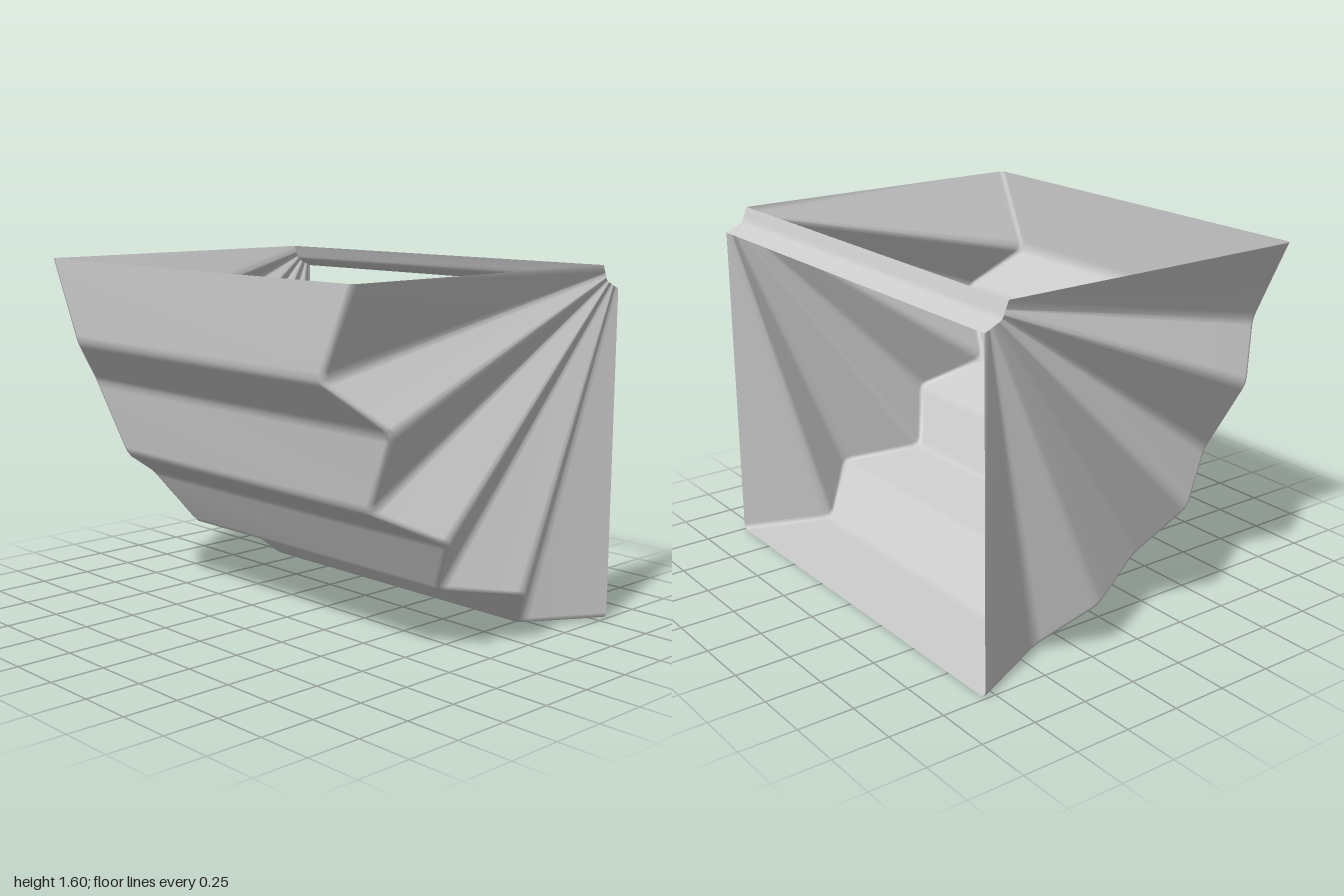
import * as THREE from 'three';

// Fold stations: [outer x, outer y, half width at the outer corner, hub x, hub y]
const FOLDS = [
  [-0.8, 1.603, 1.0, 0.69, 1.603],
  [-0.8, 1.225, 0.82, 0.705, 1.568],
  [-0.588, 1.02, 1.0, 0.712, 1.548],
  [-0.54, 0.675, 0.82, 0.72, 1.536],
  [-0.27, 0.53, 1.0, 0.732, 1.527],
  [-0.135, 0.28, 0.82, 0.748, 1.52],
  [0.215, 0.22, 1.0, 0.765, 1.512],
  [0.405, 0.017, 0.82, 0.778, 1.506],
  [0.8, 0.0, 1.0, 0.8, 1.497],
];

const mix = (a, b, t) => a.map((v, i) => v + (b[i] - v) * t);

// Replace every inner corner by a small three-point bend
function softenFolds(folds, f = 0.1) {
  const out = [folds[0]];
  for (let i = 1; i < folds.length - 1; i++) {
    const a = mix(folds[i], folds[i - 1], f);
    const b = mix(folds[i], folds[i + 1], f);
    out.push(a, mix(mix(a, b, 0.5), folds[i], 0.5), b);
  }
  out.push(folds[folds.length - 1]);
  return out;
}

// Skin a list of equally long cross-sections
function skin(rows) {
  const n = rows[0].length, index = [];
  for (let i = 0; i < rows.length - 1; i++) {
    for (let j = 0; j < n - 1; j++) {
      const a = i * n + j, b = a + n;
      index.push(a, b, a + 1, b, b + 1, a + 1);
    }
  }
  const g = new THREE.BufferGeometry();
  g.setAttribute('position', new THREE.Float32BufferAttribute(rows.flat(2), 3));
  g.setIndex(index);
  g.computeVertexNormals();
  return g;
}

// Half of one cross-section: hub, then the bent corner into the wall
function halfSection([x, y, w, hx, hy], side) {
  const hub = [hx, hy, side], corner = [x, y, side * w];
  const a = mix(corner, hub, 0.018);
  const b = [x, y, side * (w - 0.028)];
  return [hub, a, mix(mix(a, b, 0.5), corner, 0.5), b];
}

export function createModel() {
  const group = new THREE.Group();
  const material = new THREE.MeshStandardMaterial({ color: 0xcccccc, side: THREE.DoubleSide });
  const add = (name, geometry) => {
    const mesh = new THREE.Mesh(geometry, material);
    mesh.name = name;
    group.add(mesh);
  };

  const stations = softenFolds(FOLDS);

  // Pleated wall with a folded fan at each end
  add('pleatedBellows', skin(stations.map((s) =>
    [...halfSection(s, 1), ...halfSection(s, -1).reverse()])));

  // Narrow curved strip joining the two fan hubs
  add('hubStrip', skin(FOLDS.map(([, , , x, y]) => [[x, y, -1], [x, y, 1]])));

  return group;
}
